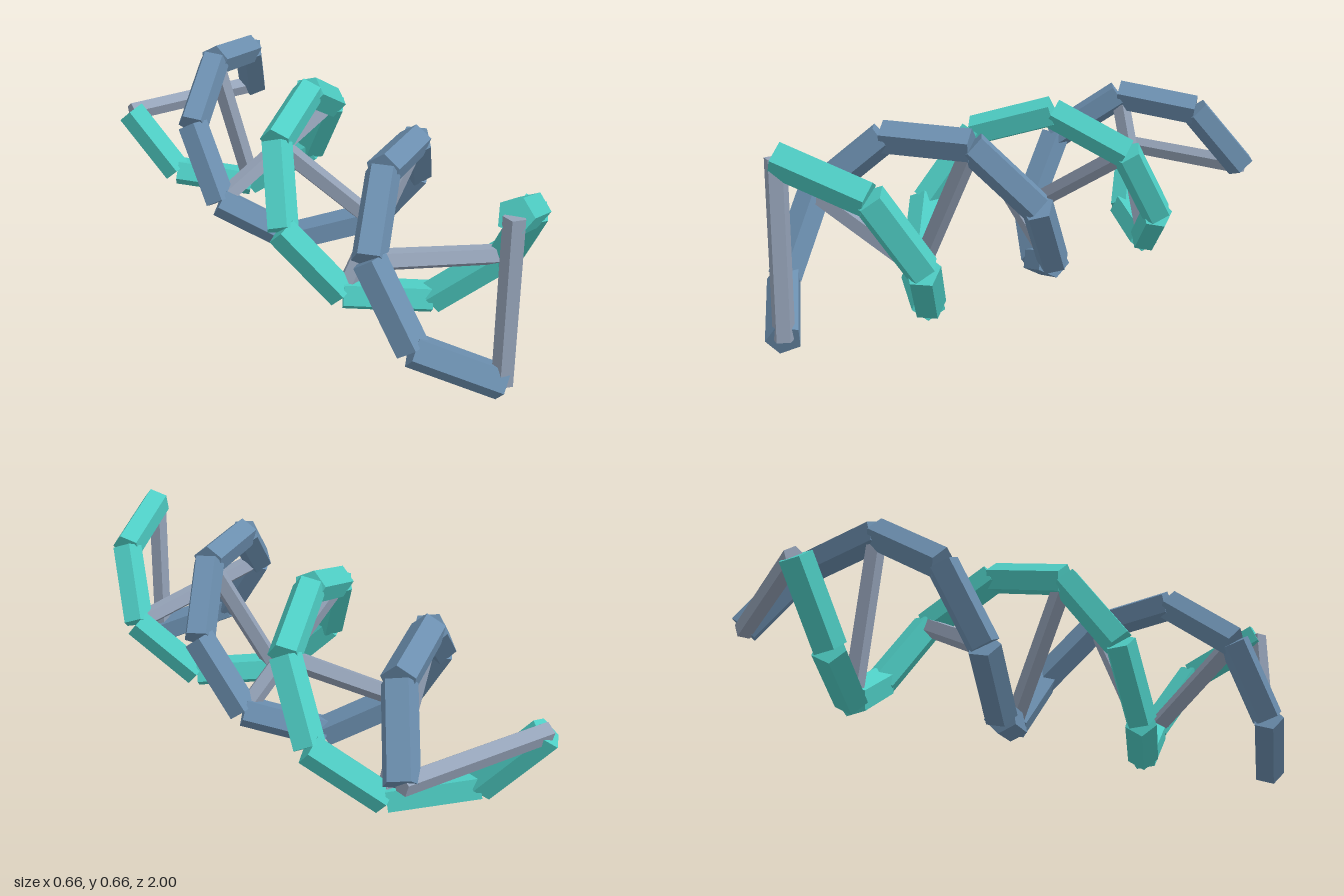
import * as THREE from 'three';

const SEGMENTS = 12;          // struts per strand
const STEP = Math.PI * 1.75 * 2 / SEGMENTS;
const RADIUS = 0.278;
const LENGTH = 1.911;
const CENTER_Y = 0.329;
const AXIS = new THREE.Vector3(0, 0, 1);

const material = (color) => new THREE.MeshStandardMaterial({ color, flatShading: true });

// Joint i on a helix whose first joint sits at the given angle
function joint(i, startAngle) {
  const a = startAngle - i * STEP;
  return new THREE.Vector3(
    RADIUS * Math.cos(a),
    CENTER_Y + RADIUS * Math.sin(a),
    LENGTH / 2 - (i * LENGTH) / SEGMENTS
  );
}

// Five-sided bar between two points, one corner turned square to the helix axis
function bar(name, a, b, radius, mat) {
  const dir = b.clone().sub(a);
  const mesh = new THREE.Mesh(new THREE.CylinderGeometry(radius, radius, dir.length(), 5), mat);
  dir.normalize();
  const corner = AXIS.clone().cross(dir).normalize();
  const side = dir.clone().cross(corner);
  mesh.quaternion.setFromRotationMatrix(new THREE.Matrix4().makeBasis(side, dir, corner));
  mesh.position.copy(a).add(b).multiplyScalar(0.5);
  mesh.name = name;
  return mesh;
}

export function createModel() {
  const model = new THREE.Group();
  model.name = 'doubleHelix';

  // Two opposite strands
  const strands = [
    ['tealStrand', Math.PI / 2, 0x4ecdc4],
    ['blueStrand', -Math.PI / 2, 0x6b8eae],
  ];
  for (const [name, start, color] of strands) {
    const strand = new THREE.Group();
    strand.name = name;
    const mat = material(color);
    for (let i = 0; i < SEGMENTS; i++) {
      strand.add(bar('strandSegment', joint(i, start), joint(i + 1, start), 0.0565, mat));
    }
    model.add(strand);
  }

  // Rungs across every second joint
  const rungs = new THREE.Group();
  rungs.name = 'rungs';
  const rungMat = material(0x95a3b8);
  for (let i = 0; i <= SEGMENTS; i += 2) {
    rungs.add(bar('rung', joint(i, Math.PI / 2), joint(i, -Math.PI / 2), 0.035, rungMat));
  }
  model.add(rungs);

  return model;
}
